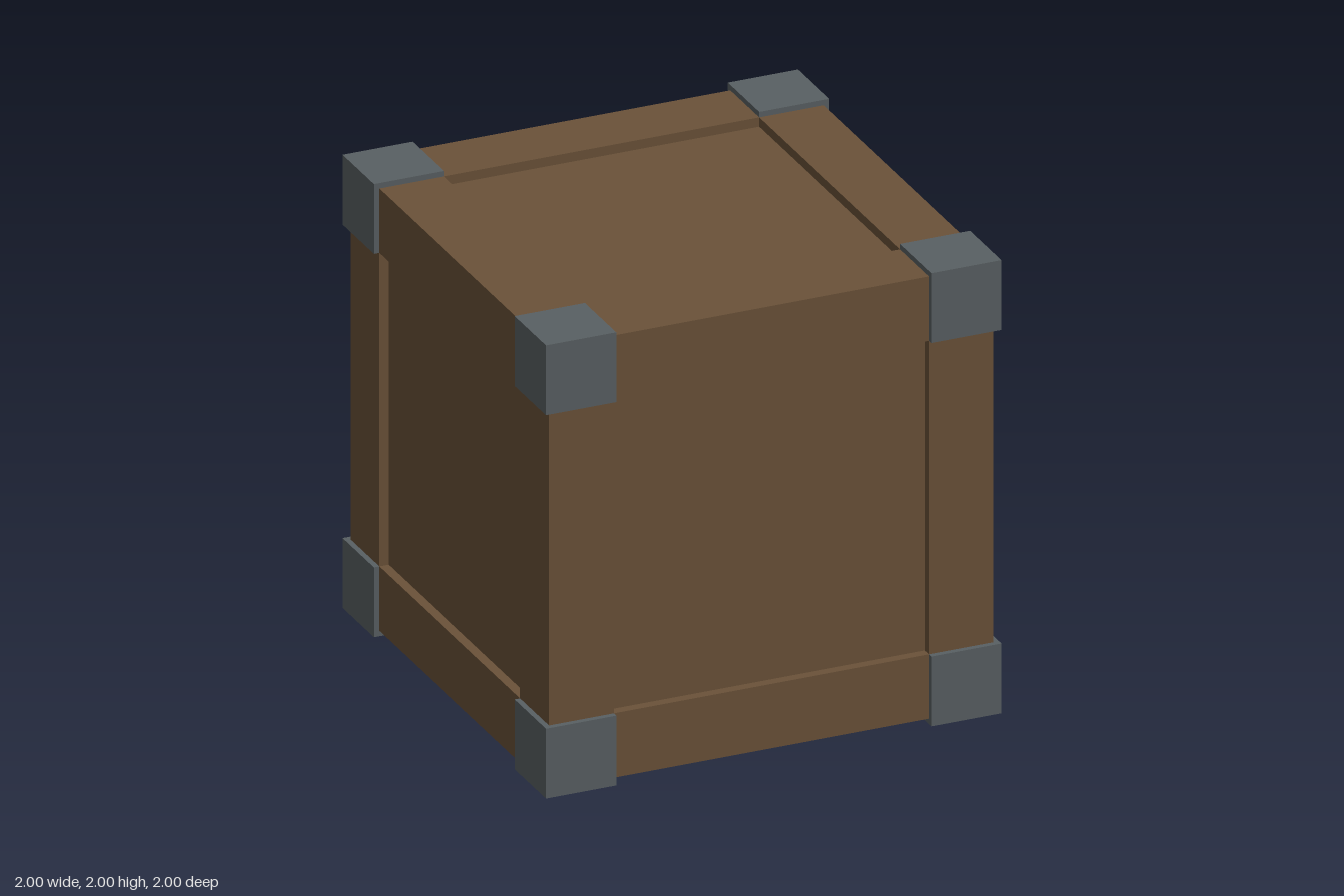
import * as THREE from 'three';

export function createModel() {
  const crate = new THREE.Group();
  crate.name = 'crate';

  const wood = new THREE.MeshStandardMaterial({ color: 0x6b5239 });
  wood.name = 'brown wood';
  const metal = new THREE.MeshStandardMaterial({ color: 0x596063 });
  metal.name = 'grey metal';

  const half = 1;        // outer face of the metal corners
  const inner = 0.692;   // inner edge of corners and frame bars
  const bar = 0.976;     // outer face of the frame bars
  const panel = 0.935;   // outer face of the recessed panels

  function addBox(name, material, size, position) {
    const mesh = new THREE.Mesh(new THREE.BoxGeometry(...size), material);
    mesh.name = name;
    mesh.position.set(position[0], position[1] + half, position[2]);
    crate.add(mesh);
  }

  // Recessed panels on all six sides
  addBox('panels', wood, [panel * 2, panel * 2, panel * 2], [0, 0, 0]);

  // Four frame bars along each axis
  const barNames = ['crossBar', 'upright', 'sideBar'];
  const barMid = (bar + inner) / 2;
  for (let axis = 0; axis < 3; axis++) {
    for (const a of [-1, 1]) {
      for (const b of [-1, 1]) {
        const size = [bar - inner, bar - inner, bar - inner];
        const position = [0, 0, 0];
        size[axis] = inner * 2;
        position[(axis + 1) % 3] = a * barMid;
        position[(axis + 2) % 3] = b * barMid;
        addBox(barNames[axis], wood, size, position);
      }
    }
  }

  // Eight metal corner blocks
  const cap = half - inner;
  const capMid = (half + inner) / 2;
  for (const x of [-1, 1]) {
    for (const y of [-1, 1]) {
      for (const z of [-1, 1]) {
        addBox('cornerBlock', metal, [cap, cap, cap], [x * capMid, y * capMid, z * capMid]);
      }
    }
  }

  return crate;
}
